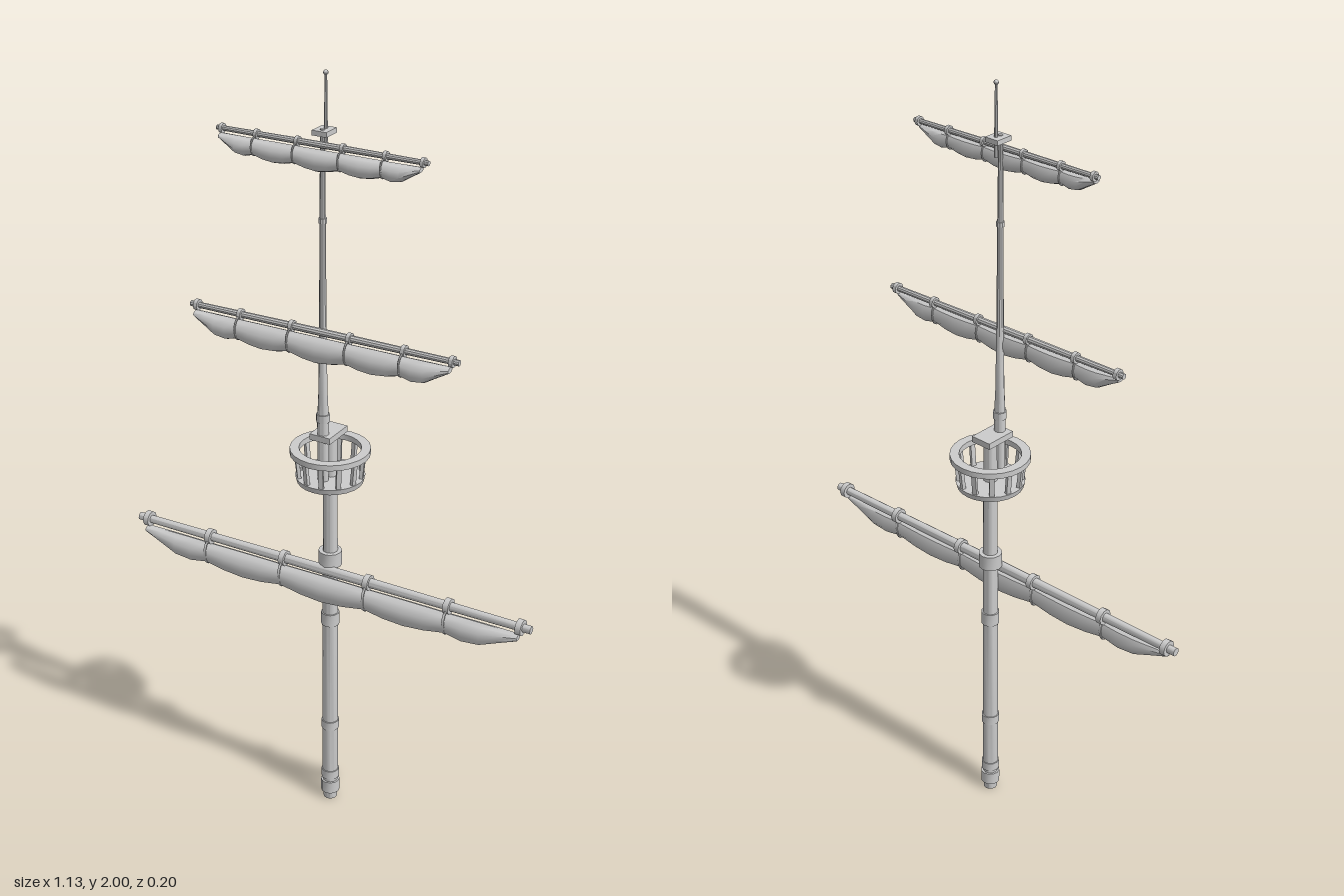
import * as THREE from 'three';
import { toCreasedNormals } from 'three/addons/utils/BufferGeometryUtils.js';

const mat = new THREE.MeshStandardMaterial({ color: 0xcccccc, side: THREE.DoubleSide });

function add(parent, name, geo, x = 0, y = 0, z = 0) {
  const m = new THREE.Mesh(toCreasedNormals(geo, 0.7), mat);
  m.name = name;
  m.position.set(x, y, z);
  parent.add(m);
  return m;
}

// Solid of revolution from [radius, y] pairs
const lathe = (pts, sides = 12) =>
  new THREE.LatheGeometry(pts.map(([r, y]) => new THREE.Vector2(r, y)), sides);

// Furled sail: oval cross-sections lofted along x, pinched at each tie
function sailGeometry(half, ties, depth, thick) {
  const stations = [];
  for (let i = 0; i < ties.length - 1; i++) {
    for (const t of [0, 0.25, 0.5, 0.75]) {
      stations.push({ x: ties[i] + (ties[i + 1] - ties[i]) * t, swell: Math.sin(Math.PI * t) });
    }
  }
  stations.push({ x: ties[ties.length - 1], swell: 0 });
  const n = 10, pos = [], idx = [];
  stations.forEach(({ x, swell }) => {
    const u = Math.abs(x) / ties[ties.length - 1];
    const end = Math.min(1, 0.3 + (1 - u) * 3.2);
    const h = depth * end * (0.8 + 0.2 * swell) * (1 - 0.12 * u);
    const w = thick * (0.45 + 0.55 * end) * (0.82 + 0.18 * swell);
    for (let k = 0; k < n; k++) {
      const a = (k / n) * Math.PI * 2;
      pos.push(x * half, -h / 2 + Math.cos(a) * h / 2, Math.sin(a) * w - Math.cos(a) * w * 0.15);
    }
  });
  const last = stations.length - 1;
  for (let i = 0; i < last; i++) {
    for (let k = 0; k < n; k++) {
      const a = i * n + k, b = i * n + (k + 1) % n;
      idx.push(a, a + n, b, b, a + n, b + n);
    }
  }
  for (let k = 1; k < n - 1; k++) {
    idx.push(0, k, k + 1, last * n, last * n + k + 1, last * n + k);
  }
  const g = new THREE.BufferGeometry();
  g.setAttribute('position', new THREE.Float32BufferAttribute(pos, 3));
  g.setIndex(idx);
  g.computeVertexNormals();
  return g;
}

// Yard spar with collars, ties and a furled sail hanging below
function makeYard(name, { half, y, z, r, depth, thick, turn }) {
  const yard = new THREE.Group();
  yard.name = name;
  yard.position.set(0, y, z);
  yard.rotation.y = turn;
  const spar = lathe([[0, -half], [r * 0.85, -half], [r * 1.1, 0], [r * 0.85, half], [0, half]], 10);
  add(yard, 'spar', spar.rotateZ(-Math.PI / 2));
  const ties = [-0.95, -0.61, -0.215, 0.215, 0.61, 0.95];
  const sailY = -r * 1.3, sailZ = thick * 0.45;
  add(yard, 'furledSail', sailGeometry(half, ties, depth, thick), 0, sailY, sailZ);
  for (const t of ties) {
    add(yard, 'collar', new THREE.CylinderGeometry(r * 1.65, r * 1.65, r * 1.2, 10).rotateZ(Math.PI / 2), t * half);
    if (Math.abs(t) > 0.9) continue;
    // Rope looped round the sail and up to the spar
    const h = depth * 0.8 * (1 - 0.12 * Math.abs(t));
    const rope = new THREE.TorusGeometry(1, 0.1, 6, 14).rotateY(Math.PI / 2);
    rope.scale(r * 3, h / 2 + r * 0.5, thick * 0.88);
    add(yard, 'sailTie', rope, t * half, sailY - h / 2 + r * 0.3, sailZ);
  }
  return yard;
}

function makeCrowsNest() {
  const nest = new THREE.Group();
  nest.name = 'crowsNest';
  add(nest, 'floor', new THREE.CylinderGeometry(0.087, 0.083, 0.015, 24), 0, 0.978, 0);
  add(nest, 'rail', lathe([[0.077, 1.045], [0.1, 1.045], [0.1, 1.06], [0.077, 1.06], [0.077, 1.045]], 24));
  const count = 12;
  for (let i = 0; i < count; i++) {
    const post = new THREE.Group();
    post.name = 'railPost';
    post.rotation.y = ((i + 0.5) / count) * Math.PI * 2;
    const bar = add(post, 'post', new THREE.BoxGeometry(0.012, 0.068, 0.009), 0, 1.015, 0.082);
    bar.rotation.x = 0.1;
    nest.add(post);
  }
  return nest;
}

export function createModel() {
  const model = new THREE.Group();
  model.name = 'shipMast';

  // Lower mast with its iron bands
  add(model, 'lowerMast', lathe([[0, 0], [0.018, 0], [0.021, 0.09], [0.02, 0.6], [0.017, 1.1], [0, 1.1]]));
  const bands = [[0.04, 0.025, 0.035], [0.08, 0.0235, 0.025], [0.24, 0.0235, 0.025],
    [0.57, 0.0235, 0.035], [0.75, 0.03, 0.04], [0.95, 0.022, 0.02]];
  for (const [y, r, h] of bands) add(model, 'mastBand', new THREE.CylinderGeometry(r, r, h, 12), 0, y, 0);

  model.add(makeCrowsNest());

  // Cap joining the lower and upper masts
  add(model, 'mastCap', new THREE.BoxGeometry(0.057, 0.016, 0.085), 0, 1.103, 0.008);

  // Upper mast
  add(model, 'upperMast', lathe([[0, 0.98], [0.014, 0.98], [0.0145, 1.15], [0.011, 1.23], [0.009, 1.4],
    [0.0075, 1.65], [0.0055, 1.87], [0, 1.87]], 10), 0, 0, 0.034);
  add(model, 'upperBand', new THREE.CylinderGeometry(0.017, 0.017, 0.02, 10), 0, 1.155, 0.034);
  add(model, 'upperBand', new THREE.CylinderGeometry(0.01, 0.01, 0.012, 10), 0, 1.655, 0.034);
  add(model, 'upperCap', new THREE.BoxGeometry(0.038, 0.012, 0.046), 0, 1.862, 0.026);

  // Top pole and finial
  add(model, 'topPole', lathe([[0, 1.82], [0.005, 1.82], [0.003, 1.99], [0, 1.99]], 8), 0, 0, 0.019);
  add(model, 'finial', new THREE.SphereGeometry(0.006, 10, 8), 0, 1.994, 0.019);

  model.add(makeYard('lowerYard', { half: 0.567, y: 0.722, z: 0.023, r: 0.0125, depth: 0.072, thick: 0.023, turn: 0.02 }));
  model.add(makeYard('middleYard', { half: 0.362, y: 1.382, z: 0.044, r: 0.0085, depth: 0.064, thick: 0.023, turn: 0.025 }));
  model.add(makeYard('topYard', { half: 0.272, y: 1.836, z: 0.044, r: 0.007, depth: 0.05, thick: 0.021, turn: 0.025 }));

  return model;
}
